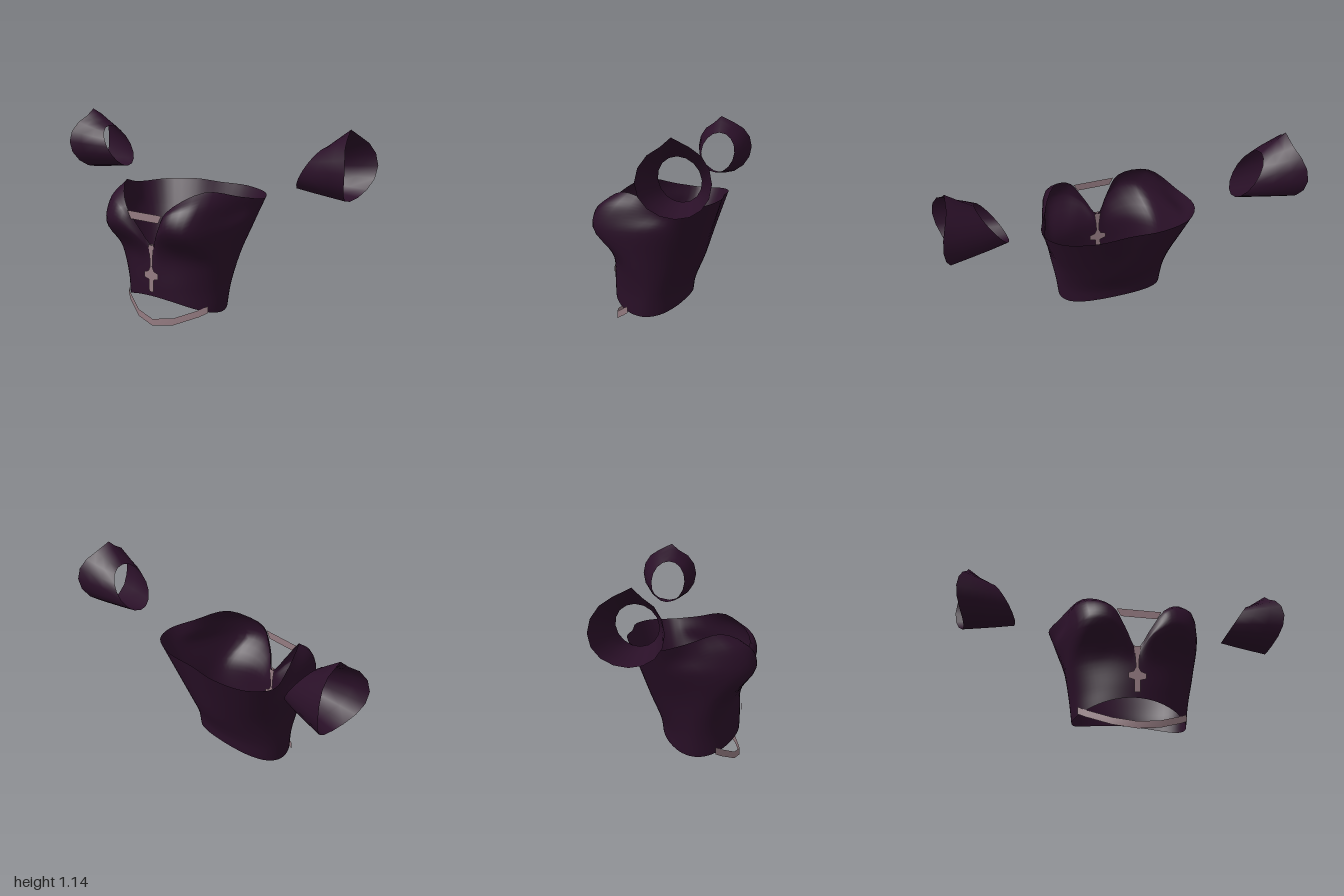
import * as THREE from 'three';

const fabric = new THREE.MeshStandardMaterial({ name: 'dark plum fabric', color: 0x2a1028, side: THREE.DoubleSide });
const ribbon = new THREE.MeshStandardMaterial({ name: 'dusty pink ribbon', color: 0x947b81, side: THREE.DoubleSide });

const V = (x, y, z) => new THREE.Vector3(x, y, z);

function mesh(name, geometry, material) {
  const m = new THREE.Mesh(geometry, material);
  m.name = name;
  return m;
}

// Skin a list of rings (arrays of Vector3) into one smooth surface
function loft(rings, closed = true) {
  const n = rings[0].length;
  const index = [];
  for (let r = 0; r < rings.length - 1; r++) {
    for (let i = 0; i < (closed ? n : n - 1); i++) {
      const j = (i + 1) % n;
      const a = r * n + i, b = r * n + j, c = a + n, d = b + n;
      index.push(a, b, d, a, d, c);
    }
  }
  const g = new THREE.BufferGeometry().setFromPoints(rings.flat());
  g.setIndex(index);
  g.computeVertexNormals();
  return g;
}

// Oval half section, front centre to back centre; the edge rises by lift at front and back
function oval(width, front, middle, back, y, lift, power) {
  return Array.from({ length: 9 }, (_, i) => {
    const a = (i / 8) * Math.PI, c = Math.cos(a);
    const reach = (c > 0 ? front : back) - middle;
    return V(width * Math.sin(a), y + lift * c * c, middle + reach * Math.abs(c) ** power);
  });
}

function bodiceSections() {
  const hem = oval(.317, .295, .07, -.148, .097, .08, 1);
  const waist = oval(.333, .298, .06, -.16, .23, .02, 1);
  const underBust = oval(.36, .298, .07, -.222, .4, 0, .75);
  underBust[0].y = .36;
  const neckline = [
    V(0, .47, .293), V(.072, .575, .33), V(.145, .685, .345), V(.29, .79, .2), V(.395, .752, .01),
    V(.445, .728, -.13), V(.37, .735, -.26), V(.19, .745, -.33), V(0, .745, -.325),
  ];
  // Cups are shaped at the front; sides and back run straight up to the neckline
  const cup = (front, t) => underBust.map((p, i) => front[i] ?? p.clone().lerp(neckline[i], t));
  const bust = cup([V(0, .44, .294), V(.08, .53, .355), V(.18, .58, .39), V(.3, .58, .35), V(.385, .58, .11)], .53);
  const upperCup = cup([V(0, .458, .294), V(.077, .56, .345), V(.17, .67, .375), V(.315, .71, .29)], .78);
  return [hem, waist, underBust, bust, upperCup, neckline];
}

function bodiceGeometry(around = 64, upward = 25) {
  const columns = bodiceSections().map((half) => {
    half[0].x = half[8].x = 0;
    const right = half.slice(1, -1).reverse().map((p) => V(-p.x, p.y, p.z));
    const curve = new THREE.CatmullRomCurve3([...half, ...right], true);
    return Array.from({ length: around }, (_, i) => curve.getPoint(i / around));
  });
  const rings = Array.from({ length: upward + 1 }, () => []);
  for (let i = 0; i < around; i++) {
    const rise = new THREE.CatmullRomCurve3(columns.map((ring) => ring[i]));
    rings.forEach((ring, r) => ring.push(rise.getPoint(r / upward)));
  }
  return loft(rings);
}

function sleeveGeometry(sides = 16) {
  const angles = Array.from({ length: sides }, (_, i) => (i / sides) * Math.PI * 2);
  // Wide outer opening, flared at front and back, with a peak on top
  const outer = angles.map((a) => V(.94 + .06 * Math.sin(a) ** 2, .935 + .175 * Math.cos(a), -.21 - .18 * Math.sin(a)));
  outer[0].set(.94, 1.14, -.19);
  // Narrow slanted inner opening
  const inner = angles.map((a) => V(.72 + .08 * Math.cos(a), .918 + .122 * Math.cos(a), -.195 - .108 * Math.sin(a)));
  const between = (t, bulge) => outer.map((p, i) => {
    const q = p.clone().lerp(inner[i], t);
    q.z = -.2 + (q.z + .2) * bulge;
    return q;
  });
  return loft([outer, between(.33, 1.03), between(.67, 1.06), inner]);
}

// Flat plate from a left-right symmetric outline given as half-width, height
function symmetricPlate(half, z) {
  const left = [...half].reverse().map(([x, y]) => [-x, y]);
  const shape = new THREE.Shape([...half, ...left].map(([x, y]) => new THREE.Vector2(x, y)));
  return new THREE.ShapeGeometry(shape).translate(0, 0, z);
}

export function createModel() {
  const model = new THREE.Group();
  model.name = 'corsetWithSleeves';

  model.add(mesh('bodice', bodiceGeometry(), fabric));

  // Pair of loose sleeves
  const sleeve = sleeveGeometry();
  for (const [name, side] of [['leftSleeve', 1], ['rightSleeve', -1]]) {
    const s = mesh(name, sleeve, fabric);
    s.scale.x = side;
    model.add(s);
  }

  // Ribbon across the neckline
  model.add(mesh('necklineRibbon', symmetricPlate([[.1, .62], [.125, .665]], .36), ribbon));

  // Lacing with a crossing, on both faces of the front
  const lace = [[.016, .205], [.016, .275], [.05, .285], [.05, .315], [.02, .325], [.008, .35], [.01, .4], [.02, .475]];
  model.add(mesh('frontLacing', symmetricPlate(lace, .306), ribbon));
  model.add(mesh('innerLacing', symmetricPlate(lace, .286), ribbon));

  // Ribbon hanging below the hem
  const hang = [[-.3, .13], [-.26, .105], [-.13, .047], [0, .024], [.13, .047], [.26, .105], [.3, .13]];
  const edge = (dy) => hang.map(([x, y]) => V(x, y + dy, .3 - (y - .024) * 1.2));
  model.add(mesh('hangingRibbon', loft([edge(-.02), edge(.02)], false), ribbon));

  return model;
}
